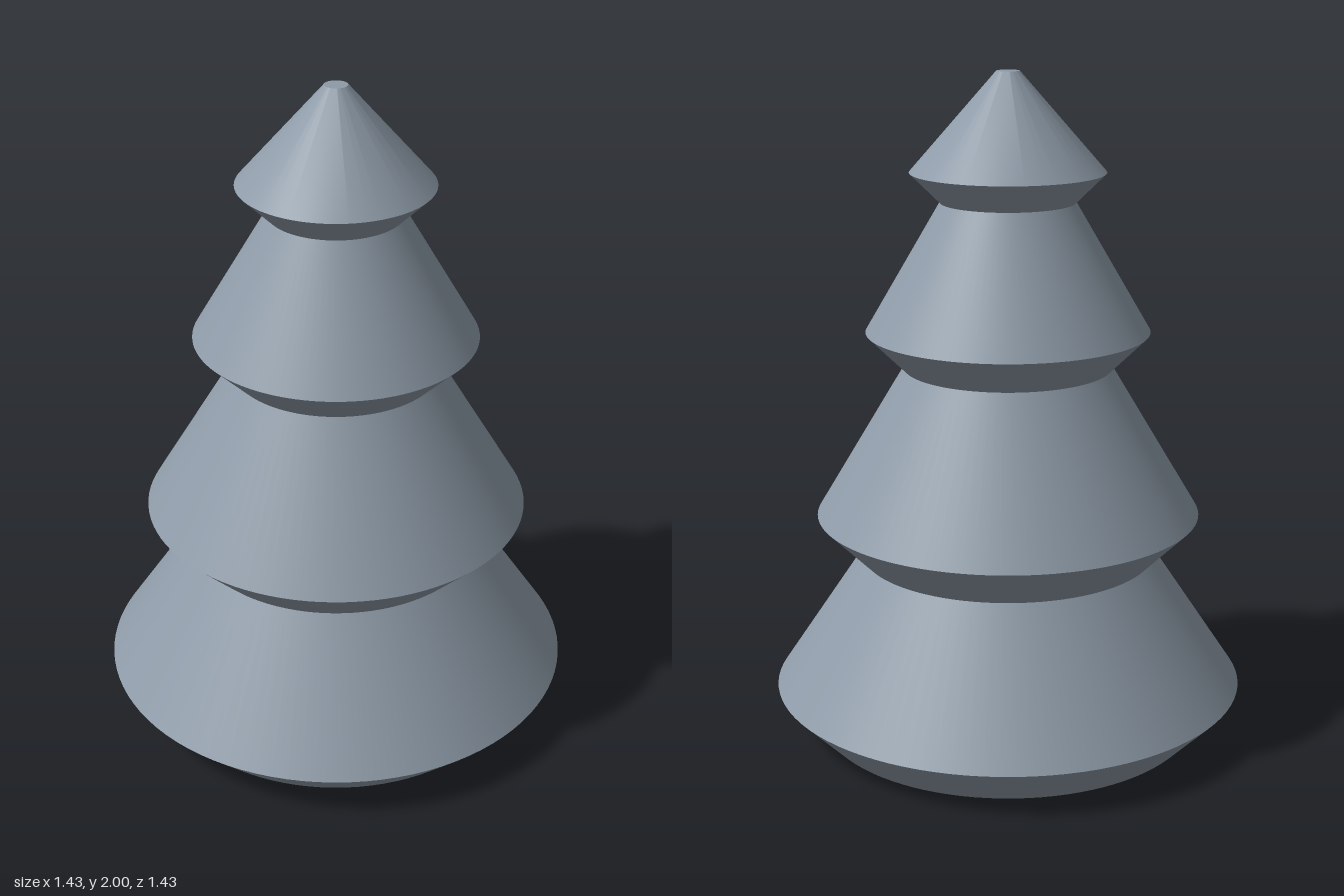
import * as THREE from 'three';
import { toCreasedNormals } from 'three/addons/utils/BufferGeometryUtils.js';

const WALL = 0.045;

// Outer silhouette as [radius, height]: ridges and waists of the four tiers
const profile = [
  [0.583, 0], [0.716, 0.135],
  [0.446, 0.542], [0.58, 0.676],
  [0.312, 1.126], [0.424, 1.237],
  [0.2, 1.621], [0.289, 1.709],
];

export function createModel() {
  const model = new THREE.Group();
  model.name = 'hollowTieredTree';
  const slate = new THREE.MeshStandardMaterial({ color: 0x8e9ba8 });
  slate.name = 'slateGrey';

  // Turned part with crisp ridges and smooth sides
  const addTurned = (name, points) => {
    const lathe = new THREE.LatheGeometry(points.map(([r, y]) => new THREE.Vector2(r, y)), 96);
    const mesh = new THREE.Mesh(toCreasedNormals(lathe, 0.4), slate);
    mesh.name = name;
    model.add(mesh);
  };

  // Outside of the tiers, with a small flat tip
  addTurned('outerTiers', [...profile, [0.034, 2], [0, 2]]);

  // Inside follows the outside at wall thickness, running downwards so it faces inwards
  const inner = profile.map(([r, y]) => [r - WALL, y]);
  addTurned('innerWall', [[0, 1.965], ...inner.slice().reverse()]);

  // Flat ring joining both walls at the base
  addTurned('baseRim', [inner[0], profile[0]]);

  return model;
}
